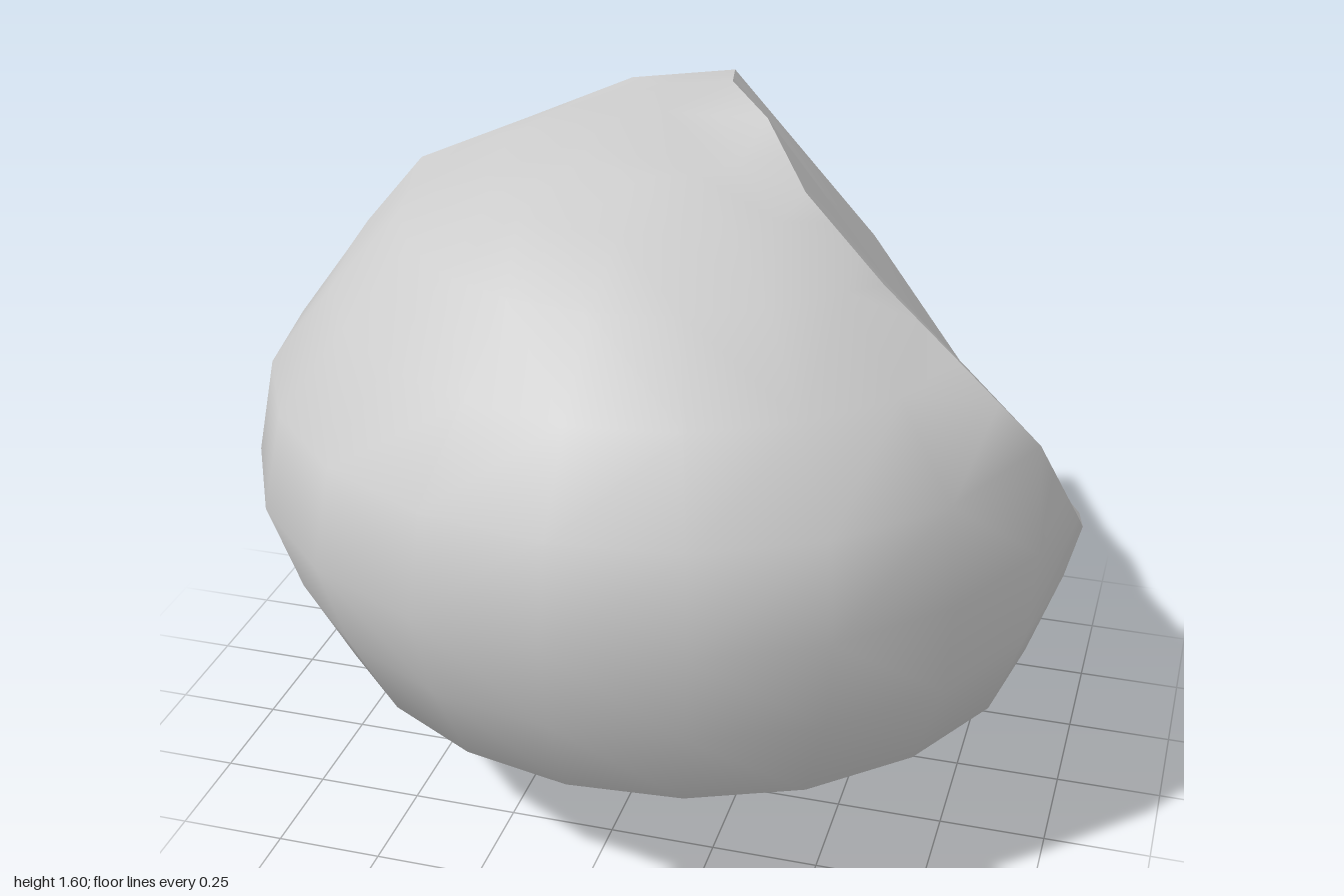
import * as THREE from 'three';
import { ConvexGeometry } from 'three/addons/geometries/ConvexGeometry.js';

const centre = new THREE.Vector3(0, 0.8, 0);

// Corners shared by several broken faces
const peak = [0, 1.55, -0.6], spur = [0.3, 0.99, -0.985], sideCorner = [0.82, 0.5, -0.66];
const backCorner = [-0.35, 0.63, -0.8], leftCorner = [-0.99, 0.95, -0.23], foot = [-0.52, 0.1, -0.6];

// The four broken faces: a rim in order around the face, and the floor point where it is dished
const faces = [
  { // right upper face
    floor: [0.5, 1.08, -0.35],
    rim: [peak, [0.04, 1.58, -0.42], [0.2, 1.6, -0.12], [0.34, 1.51, 0.09], [0.55, 1.37, 0.23], [0.73, 1.25, 0.31],
      [0.92, 1.06, 0.29], [1, 0.8, 0.11], [1, 0.69, -0.05], [0.97, 0.59, -0.3], [0.93, 0.54, -0.45], sideCorner, spur],
  },
  { // left upper face
    rim: [peak, spur, backCorner, leftCorner, [-0.97, 1.03, -0.2], [-0.83, 1.22, -0.17],
      [-0.69, 1.39, -0.2], [-0.45, 1.48, -0.3], [-0.22, 1.56, -0.44]],
  },
  { // lower back face
    rim: [spur, sideCorner, [0.68, 0.28, -0.57], [0.43, 0.1, -0.51], [0.2, 0, -0.52],
      [-0.08, 0.01, -0.56], [-0.37, 0.04, -0.585], foot, backCorner],
  },
  { // lower left face, hollowed
    floor: [-0.63, 0.48, -0.44],
    rim: [backCorner, foot, [-0.58, 0.14, -0.53], [-0.76, 0.27, -0.29], [-0.93, 0.63, -0.19],
      [-1, 0.83, -0.2], leftCorner],
  },
];

// Rounded body in rings: radius, height, then the change of radius towards the
// left front, right front and right, and the change of height towards the back
const rings = [
  [0.07, 0.03, 0, 0, 0, 0],
  [0.33, 0.08, 0, 0, 0, -0.06],
  [0.62, 0.2, -0.04, 0, 0.09, -0.1],
  [0.86, 0.36, -0.07, 0, 0.04, 0],
  [0.96, 0.58, -0.05, 0, 0.01, 0],
  [0.985, 0.8, 0, 0, 0, 0],
  [0.955, 1.03, -0.02, 0, 0, 0],
  [0.82, 1.22, -0.05, -0.04, 0, 0],
  [0.65, 1.4, -0.05, -0.07, 0, 0.05],
  [0.42, 1.49, 0, -0.08, 0, 0.075],
  [0.2, 1.55, 0, -0.08, 0, 0.02],
];

const fromCentre = (p) => p.clone().sub(centre);
const key = (p) => [p.x, p.y, p.z].map(Math.fround).join();

// Splits long rim edges and finds the floor point
function makeFacet({ rim, floor }) {
  const corners = rim.map((p) => new THREE.Vector3(...p));
  const points = [];
  corners.forEach((a, i) => {
    const b = corners[(i + 1) % corners.length];
    const steps = Math.ceil(a.distanceTo(b) / 0.14);
    for (let s = 0; s < steps; s++) points.push(a.clone().lerp(b, s / steps));
  });
  const middle = new THREE.Vector3();
  if (floor) middle.set(...floor);
  else points.forEach((p) => middle.addScaledVector(p, 1 / points.length));

  // One cone per rim edge, to test whether a direction passes through the face
  const cones = points.map((a, i) => {
    const [m, p, q] = [middle, a, points[(i + 1) % points.length]].map(fromCentre);
    return new THREE.Matrix3().set(m.x, p.x, q.x, m.y, p.y, q.y, m.z, p.z, q.z).invert();
  });
  const contains = (p) => cones.some((c) => {
    const w = fromCentre(p).applyMatrix3(c);
    return Math.min(w.x, w.y, w.z) > -1e-4;
  });
  return { points, middle, contains };
}

function makeStone() {
  const facets = faces.map(makeFacet);
  const points = [];
  const add = (p, gap) => {
    if (points.every((q) => q.distanceTo(p) > gap)) points.push(p);
  };
  facets.forEach((f) => f.points.forEach((p) => add(p, 0.002)));
  for (const f of facets) {
    add(f.middle, 0.002);
    f.points.forEach((p) => add(p.clone().lerp(f.middle, 0.5), 0.05));
  }

  // Body points outside the broken faces
  const sides = 20;
  const towards = (a, b) => Math.max(0, Math.cos(a - b)) ** 2;
  for (const [radius, height, leftFront, rightFront, right, back] of rings) {
    for (let i = 0; i < sides; i++) {
      const a = (i / sides) * Math.PI * 2;
      const r = radius * (1 + leftFront * towards(a, -Math.PI / 4)
        + rightFront * towards(a, Math.PI / 4) + right * towards(a, Math.PI / 2));
      const y = height + back * Math.max(0, -Math.cos(a));
      const p = new THREE.Vector3(Math.sin(a) * r, y, Math.cos(a) * r);
      if (!facets.some((f) => f.contains(p))) add(p, radius < 0.1 ? 0.01 : 0.08);
    }
  }

  // Join the points by their directions from the centre, so that hollows stay hollow
  const places = new Map();
  const directions = points.map((p) => {
    const d = fromCentre(p).normalize();
    places.set(key(d), p);
    return d;
  });
  const geometry = new ConvexGeometry(directions);
  const pos = geometry.attributes.position, nor = geometry.attributes.normal;

  // Smooth normals within the body and within each broken face, sharp between them
  const sums = new Map(), owners = [];
  for (let i = 0; i < pos.count; i += 3) {
    const tri = [0, 1, 2].map((k) => places.get(key(new THREE.Vector3().fromBufferAttribute(pos, i + k))));
    const mid = tri[0].clone().add(tri[1]).add(tri[2]).divideScalar(3);
    const group = facets.findIndex((f) => f.contains(mid));
    const normal = tri[1].clone().sub(tri[0]).cross(tri[2].clone().sub(tri[0]));
    tri.forEach((p, k) => {
      pos.setXYZ(i + k, p.x, p.y, p.z);
      const id = group + ':' + key(p);
      if (!sums.has(id)) sums.set(id, new THREE.Vector3());
      sums.get(id).add(normal);
      owners.push(id);
    });
  }
  owners.forEach((id, i) => {
    const n = sums.get(id).clone().normalize();
    nor.setXYZ(i, n.x, n.y, n.z);
  });
  return geometry;
}

export function createModel() {
  const group = new THREE.Group();
  group.name = 'rock';
  const stoneGrey = new THREE.MeshStandardMaterial({ color: 0xcccccc });
  stoneGrey.name = 'stoneGrey';
  const stone = new THREE.Mesh(makeStone(), stoneGrey);
  stone.name = 'brokenBoulder';
  group.add(stone);
  return group;
}
